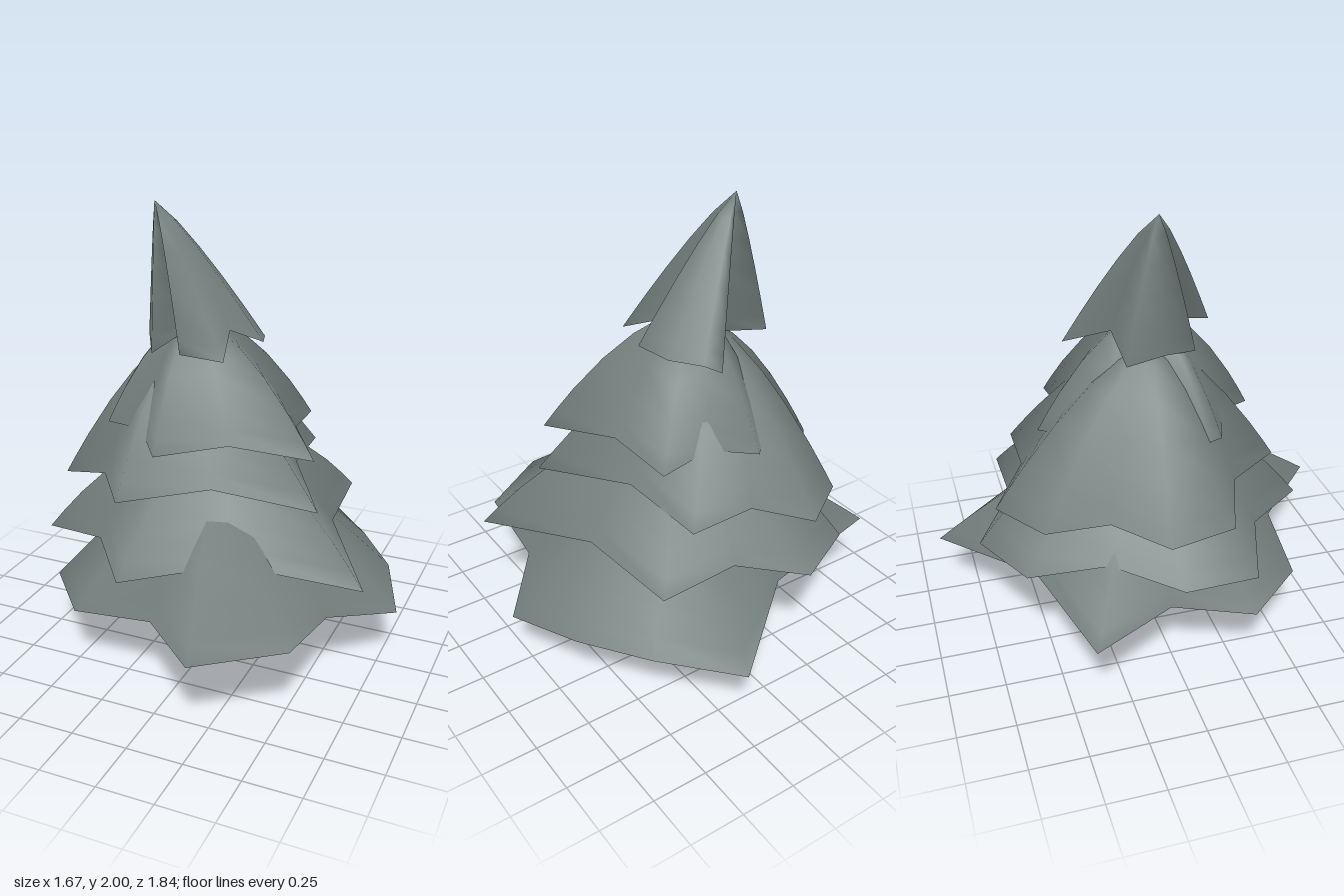
import * as THREE from 'three';
import { mergeGeometries } from 'three/addons/utils/BufferGeometryUtils.js';

// Each tier: peak, curve power, rim height, and the bough corners [x, z, extra height]
// counter-clockwise from above. Corners further apart than gap get a notch between them,
// pulled in to a share of the radius and lifted.
const TIERS = [
  { name: 'bottomBranches', peak: [-0.02, 0.9, 0], power: 1.4, rimY: 0.31, gap: 0.5, pull: 0.82, lift: 0.01,
    corners: [[0.23, 0.92, 0.08], [0.57, 0.68, 0.09], [0.83, 0, -0.04], [0.7, -0.34], [0.5, -0.62],
      [0.23, -0.92], [-0.84, -0.42, 0.07], [-0.7, 0.32, -0.01], [-0.46, 0.59, -0.01]] },
  { name: 'lowerBranches', peak: [-0.05, 1.03, 0], power: 1.9, rimY: 0.55, gap: 0.4, pull: 0.85, lift: 0.04,
    corners: [[-0.19, 0.69], [0.77, 0.36], [0.43, -0.6, 0.03], [-0.2, -0.78], [-0.5, -0.63], [-0.75, -0.02, -0.02],
      [-0.74, 0.3, -0.02]] },
  { name: 'middleBranches', peak: [-0.22, 1.42, -0.02], power: 1.5, rimY: 0.79, gap: 0.4, pull: 0.85, lift: 0.04,
    corners: [[-0.27, 0.53, 0.04], [0.53, 0.25, 0.02], [0.25, -0.55, 0.02], [-0.27, -0.71, -0.03],
      [-0.51, -0.55, -0.03], [-0.74, -0.08, -0.04], [-0.7, 0.2, -0.02]] },
  { name: 'upperBranches', peak: [-0.14, 1.52, 0], power: 1.8, rimY: 1.03, gap: 0.3, pull: 0.85, lift: 0.03,
    corners: [[-0.13, 0.45], [0.5, 0.23], [0.28, -0.38, -0.02], [-0.13, -0.49], [-0.29, -0.32, 0.02],
      [-0.48, 0.16, 0.03], [-0.46, 0.22, 0.03]] },
  { name: 'treeTop', peak: [-0.33, 2, -0.02], power: 1.2, rimY: 1.4, gap: 0.19, pull: 0.6, lift: 0.07,
    corners: [[-0.27, 0.16, -0.02], [-0.08, 0.28, 0.03], [0.09, 0.22], [0.17, -0.03, 0.03], [0.12, -0.18, 0.01],
      [0.02, -0.29], [-0.03, -0.35, -0.02], [-0.4, -0.17, 0.01], [-0.36, 0, 0.02]] },
];

const average = (points) => points
  .reduce((sum, p) => sum.add(p), new THREE.Vector3())
  .divideScalar(points.length);

// Full rim of a tier: its corners plus the notches between distant ones.
function makeRim({ corners, rimY, gap, pull, lift }) {
  const tips = corners.map(([x, z, dy = 0]) => new THREE.Vector3(x, rimY + dy, z));
  const centre = average(tips);
  return tips.flatMap((tip, i) => {
    const next = tips[(i + 1) % tips.length];
    if (Math.hypot(next.x - tip.x, next.z - tip.z) < gap) return [tip];
    const notch = tip.clone().lerp(next, 0.5);
    notch.x = centre.x + (notch.x - centre.x) * pull;
    notch.z = centre.z + (notch.z - centre.z) * pull;
    notch.y += lift;
    return [tip, notch];
  });
}

// Curved surface of rings running from a centre point out to the rim.
function fan(centre, rim, power, steps, up) {
  const n = rim.length, pos = [...centre], index = [];
  for (const t of steps) {
    for (const p of rim) {
      const ring = centre.clone().lerp(p, t);
      pos.push(ring.x, centre.y + (p.y - centre.y) * t ** power, ring.z);
    }
  }
  const tri = (a, b, c) => (up ? index.push(a, b, c) : index.push(a, c, b));
  for (let i = 0; i < n; i++) {
    const j = (i + 1) % n;
    tri(0, 1 + i, 1 + j);
    for (let k = 0; k < steps.length - 1; k++) {
      const a = 1 + k * n, b = a + n;
      tri(a + i, b + i, b + j);
      tri(a + i, b + j, a + j);
    }
  }
  const g = new THREE.BufferGeometry();
  g.setAttribute('position', new THREE.Float32BufferAttribute(pos, 3));
  g.setIndex(index);
  g.computeVertexNormals();
  return g;
}

export function createModel() {
  const model = new THREE.Group();
  model.name = 'pineTree';
  const foliage = new THREE.MeshStandardMaterial({ color: 0x74807e, side: THREE.DoubleSide });
  foliage.name = 'greyGreenFoliage';
  const bark = new THREE.MeshStandardMaterial({ color: 0x54423a });
  bark.name = 'brownBark';

  // Tapered trunk
  const trunk = new THREE.Mesh(new THREE.CylinderGeometry(0.058, 0.104, 0.6, 10), bark);
  trunk.name = 'trunk';
  trunk.position.set(-0.03, 0.3, -0.03);
  model.add(trunk);

  // Drooping tiers, each with a bulging top and a shallow hollow underside
  for (const tier of TIERS) {
    const rim = makeRim(tier);
    const peak = new THREE.Vector3(...tier.peak);
    const hollow = average(rim);
    hollow.y += (peak.y - hollow.y) * 0.22;
    const mesh = new THREE.Mesh(mergeGeometries([
      fan(peak, rim, tier.power, [0.2, 0.4, 0.6, 0.8, 0.92, 1], true),
      fan(hollow, rim, 1.8, [0.4, 0.7, 0.9, 1], false),
    ]), foliage);
    mesh.name = tier.name;
    model.add(mesh);
  }
  return model;
}
